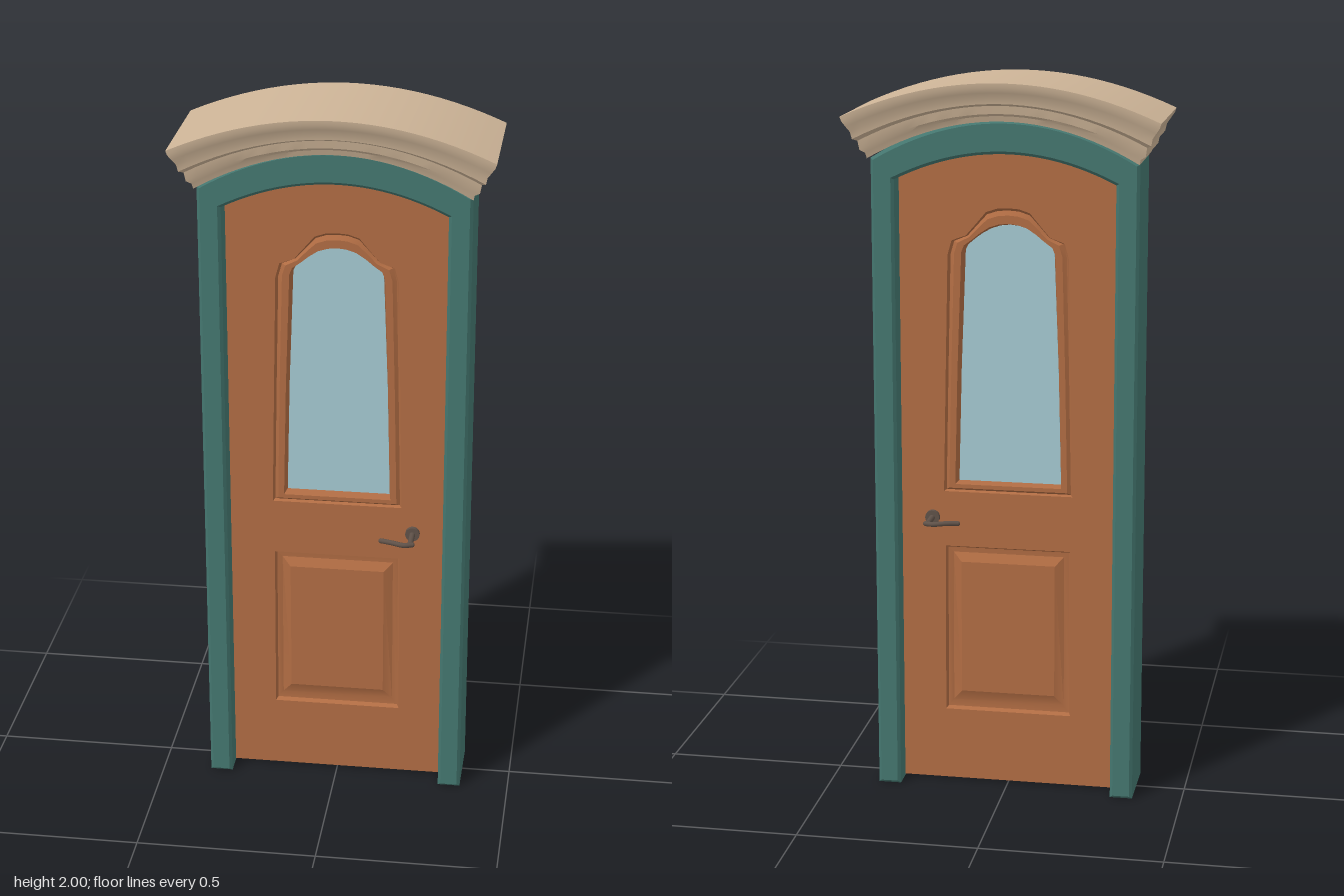
import * as THREE from 'three';
import { toCreasedNormals } from 'three/addons/utils/BufferGeometryUtils.js';

const material = (name, color) => {
  const m = new THREE.MeshStandardMaterial({ color });
  m.name = name;
  return m;
};

const DOOR_Z = 0.04; // half thickness of the door leaf

// Points of a gentle arch running from x = hx to x = -hx
function arch(hx, yTop, drop, n = 24) {
  return Array.from({ length: n + 1 }, (_, i) => {
    const u = 1 - (2 * i) / n;
    return new THREE.Vector2(u * hx, yTop - drop * u * u);
  });
}

// Closed counter-clockwise contour from its right half, listed bottom to top
function mirrored(half) {
  const right = half.map(([x, y]) => new THREE.Vector2(x, y));
  const left = half.filter(([x]) => x > 0).map(([x, y]) => new THREE.Vector2(-x, y)).reverse();
  return [...right, ...left];
}

const blend = (a, b, t) => a.map((p, i) => p.clone().lerp(b[i], t));

// Moulding surface through contours [points, z], outermost first, facing +z
function moulding(rings) {
  const n = rings[0][0].length;
  const pos = [], index = [];
  for (const [pts, z] of rings) for (const p of pts) pos.push(p.x, p.y, z);
  for (let r = 0; r < rings.length - 1; r++) {
    for (let i = 0; i < n; i++) {
      const j = (i + 1) % n;
      const a = r * n + i, b = r * n + j, c = b + n, d = a + n;
      index.push(a, b, c, a, c, d);
    }
  }
  const g = new THREE.BufferGeometry();
  g.setAttribute('position', new THREE.Float32BufferAttribute(pos, 3));
  g.setIndex(index);
  return toCreasedNormals(g, 0.5);
}

// Flat shape extruded evenly to both sides of z = 0
function slab(shape, halfDepth, bevel = 0) {
  const g = new THREE.ExtrudeGeometry(shape, {
    depth: 2 * (halfDepth - bevel), bevelEnabled: bevel > 0,
    bevelSize: bevel, bevelThickness: bevel, bevelOffset: -bevel, bevelSegments: 1,
  });
  g.translate(0, 0, bevel - halfDepth);
  return toCreasedNormals(g, 0.5);
}

// Cornice: a box whose levels follow a stepped profile and bend along the arch
function corniceGeometry() {
  // half width, half depth, height at the middle, drop at the ends
  const levels = [
    [0.365, 0.125, 1.895, 0.105], [0.368, 0.13, 1.91, 0.105],
    [0.382, 0.136, 1.916, 0.103], [0.386, 0.14, 1.938, 0.1],
    [0.398, 0.153, 1.944, 0.1], [0.402, 0.156, 1.96, 0.097],
    [0.412, 0.164, 1.974, 0.096], [0.422, 0.17, 1.988, 0.095],
    [0.426, 0.171, 2.0, 0.095],
  ];
  const n = levels.length - 1;
  const g = new THREE.BoxGeometry(2, 1, 2, 24, n, 1);
  const p = g.attributes.position;
  for (let i = 0; i < p.count; i++) {
    const [hx, hz, y, drop] = levels[Math.round((p.getY(i) + 0.5) * n)];
    const u = p.getX(i);
    p.setXYZ(i, u * hx, y - drop * u * u, p.getZ(i) * hz * (1 + 0.03 * u * u));
  }
  return toCreasedNormals(g, 0.4);
}

export function createModel() {
  const group = new THREE.Group();
  group.name = 'archedDoor';
  const wood = material('doorWood', 0xb06c43);
  const teal = material('framePaint', 0x44766f);
  const stone = material('corniceStone', 0xcdb497);
  const glass = material('windowGlass', 0xa4c8d1);
  const metal = material('handleMetal', 0x5f5148);

  const add = (name, geometry, mat, parent = group) => {
    const mesh = new THREE.Mesh(geometry, mat);
    mesh.name = name;
    parent.add(mesh);
    return mesh;
  };

  // Frame: two jambs joined by an arched head
  const frameShape = new THREE.Shape([
    new THREE.Vector2(0.3, 0), new THREE.Vector2(0.363, 0),
    ...arch(0.363, 1.895, 0.108),
    new THREE.Vector2(-0.363, 0), new THREE.Vector2(-0.3, 0),
    ...arch(0.3, 1.805, 0.075).reverse(),
  ]);
  add('frame', slab(frameShape, 0.102, 0.008), teal);
  add('cornice', corniceGeometry(), stone);

  // Door leaf with openings for the window and the lower panel
  const windowOuter = mirrored([
    [0.18, 0.855], [0.173, 1.2], [0.166, 1.52], [0.155, 1.56], [0.115, 1.575],
    [0.085, 1.61], [0.06, 1.64], [0.03, 1.65], [0, 1.652],
  ]);
  const windowInner = mirrored([
    [0.143, 0.88], [0.135, 1.2], [0.122, 1.53], [0.115, 1.545], [0.095, 1.562],
    [0.075, 1.577], [0.05, 1.591], [0.025, 1.599], [0, 1.602],
  ]);
  const panelOuter = mirrored([[0.178, 0.213], [0.176, 0.697]]);
  const panelInner = mirrored([[0.132, 0.27], [0.132, 0.652]]);

  const leafShape = new THREE.Shape([
    new THREE.Vector2(-0.299, 0.006), new THREE.Vector2(0.299, 0.006),
    ...arch(0.299, 1.804, 0.075),
  ]);
  leafShape.holes.push(new THREE.Path(windowOuter), new THREE.Path(panelOuter));
  add('doorLeaf', slab(leafShape, DOOR_Z), wood);
  add('windowPane', slab(new THREE.Shape(windowInner), 0.006), glass);

  // Mouldings on both faces of the door
  const windowTrim = moulding([
    [windowOuter, DOOR_Z],
    [blend(windowOuter, windowInner, 0.15), 0.03],
    [blend(windowOuter, windowInner, 0.4), 0.038],
    [blend(windowOuter, windowInner, 0.85), 0.038],
    [windowInner, 0.004],
  ]);
  const panelTrim = moulding([
    [panelOuter, DOOR_Z],
    [blend(panelOuter, panelInner, 0.12), 0.029],
    [blend(panelOuter, panelInner, 0.45), 0.027],
    [panelInner, DOOR_Z],
  ]);
  const panelField = new THREE.ShapeGeometry(new THREE.Shape(panelInner));
  panelField.translate(0, 0, DOOR_Z);

  for (const [side, s] of [['front', 1], ['back', -1]]) {
    const face = new THREE.Group();
    face.name = side + 'Mouldings';
    face.rotation.y = s > 0 ? 0 : Math.PI;
    add('windowMoulding', windowTrim, wood, face);
    add('panelMoulding', panelTrim, wood, face);
    add('panelField', panelField, wood, face);
    group.add(face);

    // Lever handle: rose, spindle and curved lever
    const handle = new THREE.Group();
    handle.name = side + 'Handle';
    const rose = new THREE.CylinderGeometry(0.02, 0.02, 0.012, 20).rotateX(Math.PI / 2);
    add('rose', rose, metal, handle).position.set(0.212, 0.78, s * (DOOR_Z + 0.006));
    const spindle = new THREE.CylinderGeometry(0.008, 0.008, 0.075, 12).rotateX(Math.PI / 2);
    add('spindle', spindle, metal, handle).position.set(0.212, 0.78, s * (DOOR_Z + 0.0375));
    const path = new THREE.CatmullRomCurve3([
      new THREE.Vector3(0.218, 0.78, s * 0.112), new THREE.Vector3(0.195, 0.781, s * 0.12),
      new THREE.Vector3(0.16, 0.783, s * 0.112), new THREE.Vector3(0.13, 0.781, s * 0.1),
    ]);
    add('lever', new THREE.TubeGeometry(path, 16, 0.007, 10), metal, handle);
    for (const t of [0, 1]) {
      const tip = add('leverTip', new THREE.SphereGeometry(0.007, 10, 8), metal, handle);
      tip.position.copy(path.getPoint(t));
    }
    group.add(handle);
  }

  return group;
}
